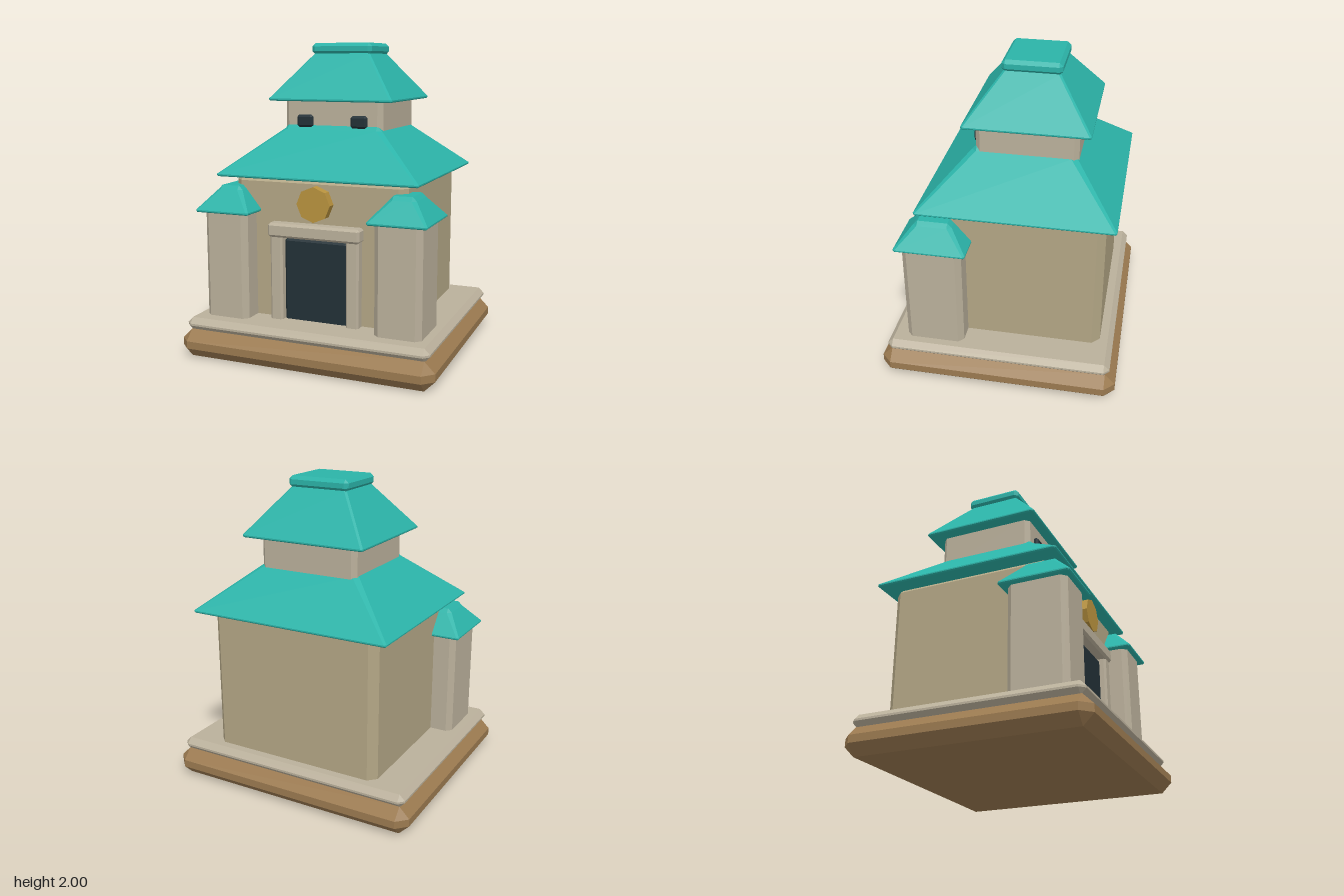
import * as THREE from 'three';

const mat = (color) => new THREE.MeshStandardMaterial({ color, flatShading: true });
const TEAL = mat(0x2bb3a8), STONE = mat(0xbab09b), WALL = mat(0xb3a685);
const WOOD = mat(0x9b7a50), DARK = mat(0x223036), GOLD = mat(0xb8923e);

// Closed solid through stacked rectangles with cut corners: [y, halfX, halfZ, cut]
function stack(rings) {
  const pos = [], idx = [], n = 8;
  for (const [y, x, z, c] of rings) {
    const outline = [
      [x, z - c], [x, -z + c], [x - c, -z], [-x + c, -z],
      [-x, -z + c], [-x, z - c], [-x + c, z], [x - c, z],
    ];
    for (const [px, pz] of outline) pos.push(px, y, pz);
  }
  const last = (rings.length - 1) * n;
  for (let r = 0; r < last; r += n) {
    for (let i = 0; i < n; i++) {
      const j = (i + 1) % n;
      idx.push(r + i, r + j, r + n + j, r + i, r + n + j, r + n + i);
    }
  }
  for (let i = 1; i < n - 1; i++) {
    idx.push(0, i + 1, i, last, last + i, last + i + 1);
  }
  const geo = new THREE.BufferGeometry();
  geo.setAttribute('position', new THREE.Float32BufferAttribute(pos, 3));
  geo.setIndex(idx);
  const flat = geo.toNonIndexed();
  flat.computeVertexNormals();
  return flat;
}

// Box with every edge bevelled, given by its extents
function block(name, material, [x0, x1], [y0, y1], [z0, z1], b) {
  const hx = (x1 - x0) / 2, hz = (z1 - z0) / 2, e = 0.0005;
  const mesh = new THREE.Mesh(stack([
    [y0, hx - b, hz - b, e], [y0 + b, hx, hz, b],
    [y1 - b, hx, hz, b], [y1, hx - b, hz - b, e],
  ]), material);
  mesh.position.set((x0 + x1) / 2, 0, (z0 + z1) / 2);
  mesh.name = name;
  return mesh;
}

// Hipped roof with a thin eave lip and a bevelled top
function roof(name, x, z, y0, y1, [ex, ez], [tx, tz], b) {
  const mesh = new THREE.Mesh(stack([
    [y0, ex - 0.008, ez - 0.008, 0.002], [y0 + 0.007, ex, ez, 0.012],
    [y0 + 0.015, ex, ez, 0.012], [y1 - b, tx, tz, b],
    [y1, tx - b, tz - b, 0.002],
  ]), TEAL);
  mesh.position.set(x, 0, z);
  mesh.name = name;
  return mesh;
}

export function createModel() {
  const model = new THREE.Group();
  model.name = 'temple';

  // Stepped base
  model.add(
    block('base', WOOD, [-0.845, 0.845], [0, 0.18], [-0.762, 0.762], 0.066),
    block('plinth', STONE, [-0.81, 0.81], [0.172, 0.255], [-0.722, 0.722], 0.035),
  );

  // Two storeys with their roofs
  model.add(
    block('mainHall', WALL, [-0.58, 0.58], [0.18, 1.18], [-0.635, 0.455], 0.05),
    roof('lowerRoof', 0, -0.09, 1.155, 1.48, [0.675, 0.615], [0.335, 0.325], 0.03),
    block('upperHall', STONE, [-0.335, 0.335], [1.38, 1.66], [-0.43, 0.21], 0.03),
    roof('upperRoof', 0, -0.115, 1.63, 1.94, [0.42, 0.393], [0.195, 0.175], 0.012),
    block('roofCap', TEAL, [-0.208, 0.208], [1.925, 2], [-0.302, 0.07], 0.022),
  );

  // Doorway
  model.add(
    block('door', DARK, [-0.215, 0.215], [0.22, 0.78], [0.42, 0.482], 0.015),
    block('lintel', STONE, [-0.31, 0.31], [0.79, 0.88], [0.43, 0.535], 0.015),
  );

  // Mirrored towers, door posts and windows
  for (const s of [1, -1]) {
    const span = (a, b) => (s > 0 ? [a, b] : [-b, -a]);
    const side = s > 0 ? 'left' : 'right';
    model.add(
      block(side + 'Tower', STONE, span(0.425, 0.725), [0.2, 0.97], [0.23, 0.605], 0.034),
      roof(side + 'TowerRoof', s * 0.578, 0.415, 0.935, 1.1, [0.187, 0.225], [0.085, 0.12], 0.025),
      block(side + 'DoorPost', STONE, span(0.215, 0.3), [0.22, 0.82], [0.43, 0.52], 0.013),
      block(side + 'Window', DARK, span(0.13, 0.24), [1.462, 1.542], [0.19, 0.236], 0.014),
    );
  }

  // Octagonal disc above the door
  const disc = new THREE.Mesh(new THREE.CylinderGeometry(0.112, 0.112, 0.075, 8), GOLD);
  disc.rotation.x = Math.PI / 2;
  disc.position.set(0, 1.01, 0.478);
  disc.name = 'doorDisc';
  model.add(disc);

  return model;
}
